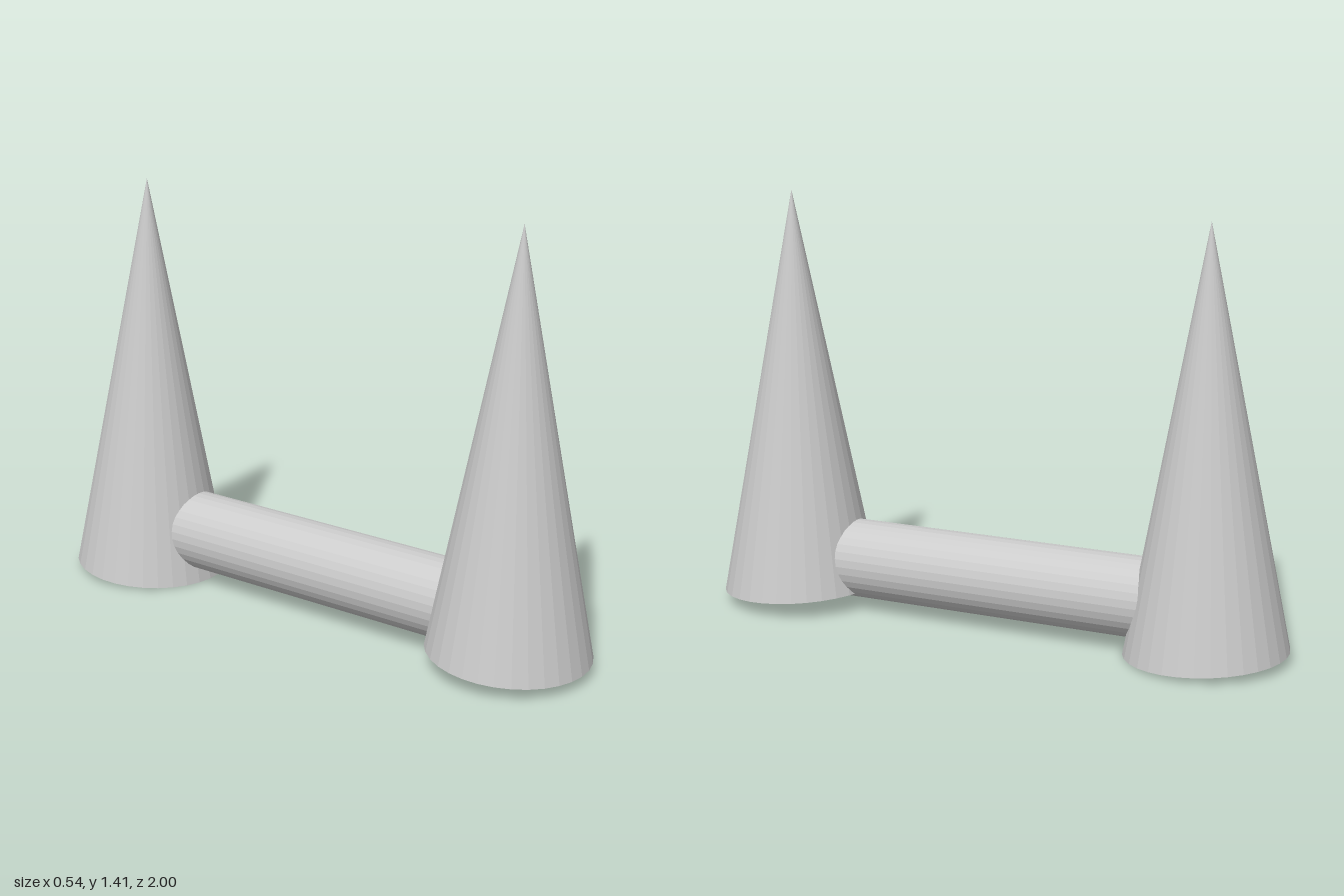
import * as THREE from 'three';

const material = new THREE.MeshStandardMaterial({ color: 0xcccccc, flatShading: true });

// Cone whose base plane slopes down toward +z while its tip stays nearly above the base centre
function slantedCone(name, base, tip) {
  const radius = 0.265, slope = -0.06;
  const height = tip.y - base.y;
  const geo = new THREE.ConeGeometry(radius, height, 32).translate(0, height / 2, 0);
  const pos = geo.attributes.position;
  for (let i = 0; i < pos.count; i++) {
    const t = pos.getY(i) / height;
    const x = pos.getX(i), z = pos.getZ(i);
    pos.setXYZ(i, x + (tip.x - base.x) * t, pos.getY(i) + slope * z, z + (tip.z - base.z) * t);
  }
  geo.computeVertexNormals();
  const mesh = new THREE.Mesh(geo, material);
  mesh.name = name;
  mesh.position.copy(base);
  return mesh;
}

export function createModel() {
  const model = new THREE.Group();
  model.name = 'twoConesWithBar';

  // Pair of cones
  model.add(
    slantedCone('frontCone', new THREE.Vector3(0.005, 0.055, 0.737), new THREE.Vector3(0.005, 1.415, 0.747)),
    slantedCone('backCone', new THREE.Vector3(-0.01, 0.02, -0.735), new THREE.Vector3(-0.008, 1.385, -0.721))
  );

  // Horizontal bar joining them
  const bar = new THREE.Mesh(new THREE.CylinderGeometry(0.132, 0.132, 1.14, 32), material);
  bar.name = 'connectingBar';
  bar.rotation.x = Math.PI / 2;
  bar.position.set(0, 0.172, 0);
  model.add(bar);

  return model;
}
